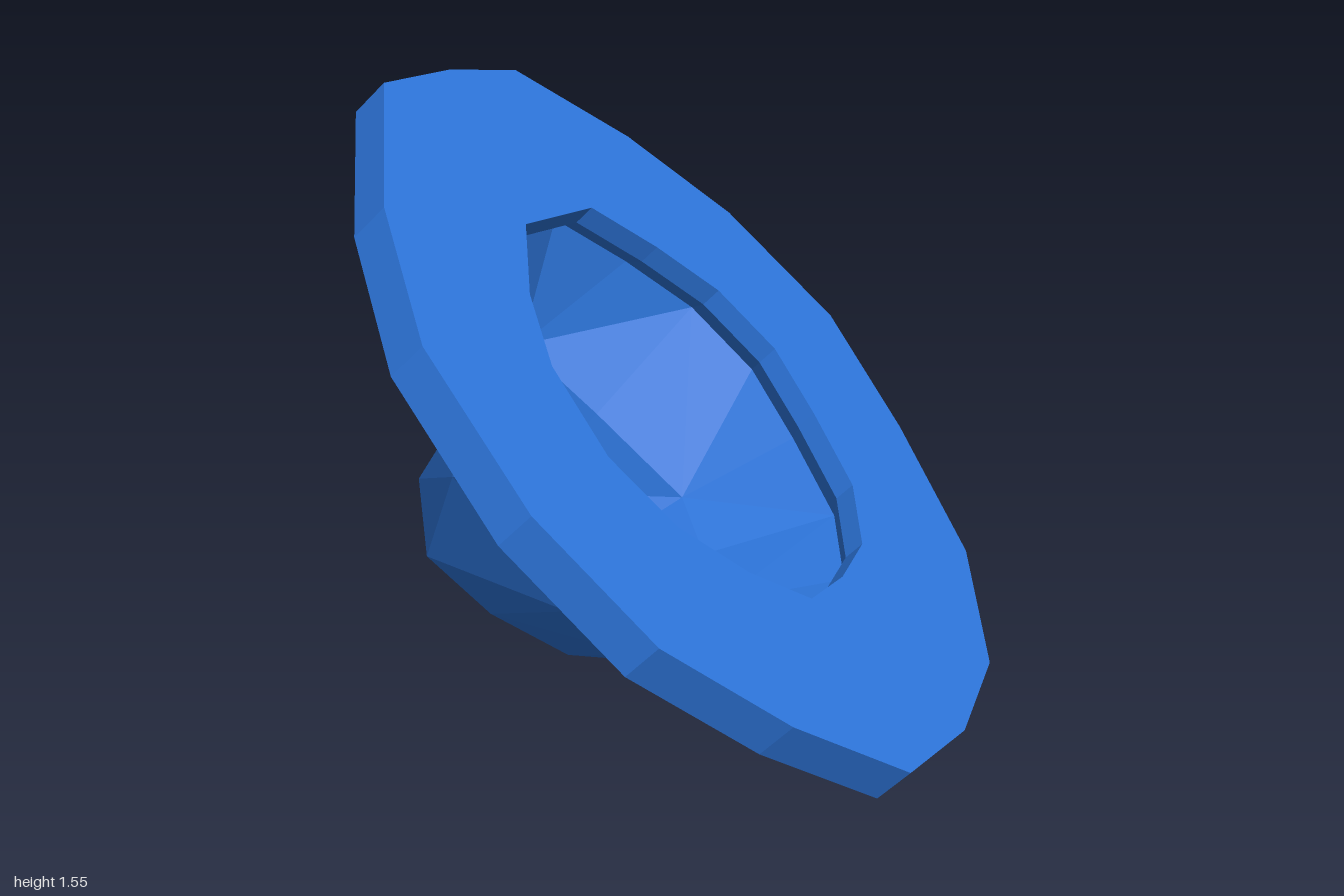
import * as THREE from 'three';

// Unit direction the open underside of the hat faces; every ring lies across it.
const N = new THREE.Vector3(0.63, 0.72, 0.29).normalize();

// Ring of [x, z, lift] points lying on the tilted plane N.p = d, some lifted off it in y
const ring = (d, points) => points.map(([x, z, lift = 0]) =>
  new THREE.Vector3(x, (d - N.x * x - N.z * z) / N.y + lift, z));
const shift = (pts, d) => pts.map((p) => p.clone().addScaledVector(N, d));

// Widen a ring about its own centre
function widen(pts, k) {
  const c = pts.reduce((s, p) => s.add(p), new THREE.Vector3()).divideScalar(pts.length);
  return pts.map((p) => p.clone().sub(c).multiplyScalar(k).add(c));
}

// Heading of each edge of a ring, rising once round from the shared starting corner
const headings = (pts) => pts.map((p, i) => {
  const q = pts[(i + 1) % pts.length];
  return (Math.atan2(q.z - p.z, q.x - p.x) + 0.6 + 2 * Math.PI) % (2 * Math.PI);
});

// Skin between two rings of any point counts, taking their edges in order of heading
function zip(a, b) {
  const ha = headings(a), hb = headings(b), tris = [];
  let i = 0, j = 0;
  while (i < a.length || j < b.length) {
    const A = a[i % a.length], B = b[j % b.length];
    const stepB = i === a.length || (j < b.length && hb[j] <= ha[i] + 1e-6);
    if (stepB) tris.push(A, b[++j % b.length], B);
    else tris.push(A, a[++i % a.length], B);
  }
  return tris;
}

function mesh(name, tris, material) {
  const geometry = new THREE.BufferGeometry().setFromPoints(tris);
  geometry.computeVertexNormals();
  const m = new THREE.Mesh(geometry, material);
  m.name = name;
  return m;
}

export function createModel() {
  const blue = new THREE.MeshStandardMaterial({ color: 0x2e77de, flatShading: true, side: THREE.DoubleSide });
  blue.name = 'blue felt';

  const group = new THREE.Group();
  group.name = 'pointedHat';

  // Brim: a thick plate with an opening that flares under its lip to meet the crown
  const thickness = 0.11;
  const outer = ring(0.585, [
    [-0.30, -0.84], [0.02, -0.95], [0.31, -0.97], [0.58, -0.85], [0.71, -0.56],
    [0.805, -0.21], [0.75, 0.20], [0.58, 0.54], [0.36, 0.83], [0.05, 0.95],
    [-0.26, 0.995], [-0.51, 0.86], [-0.70, 0.56], [-0.74, 0.17], [-0.69, -0.32], [-0.50, -0.60],
  ]);
  const opening = ring(0.585, [
    [-0.16, -0.47], [0.02, -0.52], [0.19, -0.54], [0.33, -0.47], [0.40, -0.31],
    [0.46, -0.12], [0.43, 0.10], [0.33, 0.29], [0.21, 0.46], [0.04, 0.53],
    [-0.13, 0.55], [-0.28, 0.48], [-0.38, 0.30], [-0.40, 0.09], [-0.37, -0.18],
  ]);
  const outerBack = shift(outer, -thickness);
  const lip = shift(opening, -0.06);
  const base = widen(shift(opening, -thickness), 1.08);
  group.add(mesh('brim', [
    ...zip(opening, outer),
    ...zip(outer, outerBack),
    ...zip(outerBack, base),
    ...zip(base, lip),
    ...zip(lip, opening),
  ], blue));

  // Crown: a hollow cone in two bands
  const middle = ring(0.157, [
    [-0.34, -0.56], [-0.15, -0.50], [0.065, -0.41], [0.09, -0.24], [0.095, -0.04, 0.045],
    [0.00, 0.23, 0.035], [-0.18, 0.31], [-0.36, 0.33], [-0.605, 0.14], [-0.58, -0.05], [-0.50, -0.25],
  ]);
  const lower = ring(-0.135, [
    [-0.53, -0.47], [-0.34, -0.53], [-0.21, -0.41], [-0.21, -0.17], [-0.31, -0.02],
    [-0.51, 0.02], [-0.66, -0.03], [-0.65, -0.29],
  ]);
  group.add(mesh('crown', [...zip(base, middle), ...zip(middle, lower)], blue));

  // Tip: a pinched point with a tiny blunt end
  const tip = new THREE.Vector3(-0.54, 0.07, -0.725);
  const end = lower.map((p) => tip.clone().lerp(p, 0.05));
  const cap = end.flatMap((p, i) => [p, end[(i + 1) % end.length], tip]);
  group.add(mesh('tip', [...zip(lower, end), ...cap], blue));

  return group;
}
